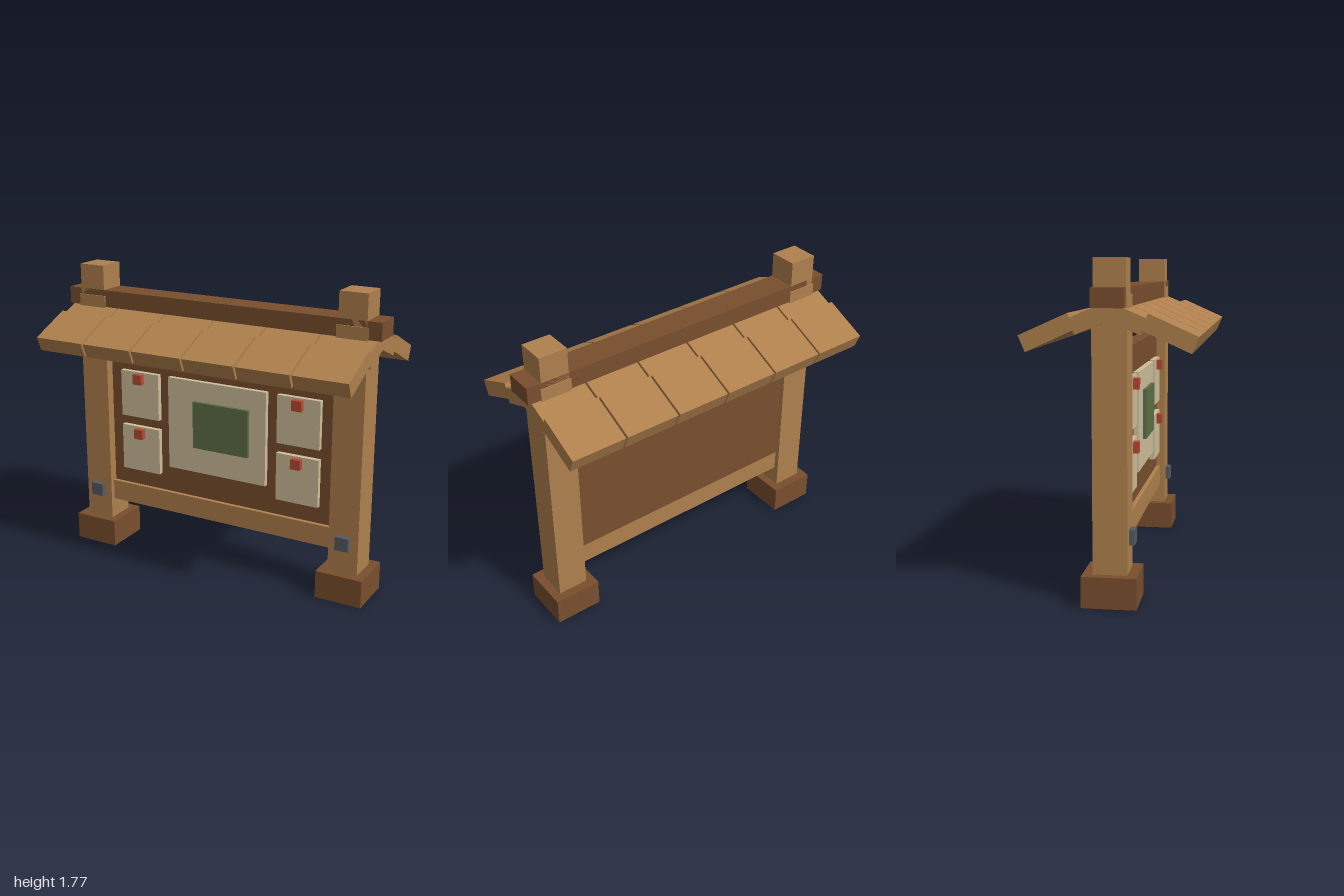
import * as THREE from 'three';

const mat = (name, color) => {
  const m = new THREE.MeshStandardMaterial({ color });
  m.name = name;
  return m;
};

export function createModel() {
  const model = new THREE.Group();
  model.name = 'noticeBoard';

  const wood = mat('lightWood', 0xaf804d);
  const darkWood = mat('darkWood', 0x794e2e);
  const paper = mat('paper', 0xcfc09c);
  const green = mat('mapGreen', 0x5d6f47);
  const red = mat('pinRed', 0xb64830);
  const iron = mat('iron', 0x565a5f);

  // Box given by its lower and upper limits on each axis
  const box = (name, material, [x0, x1], [y0, y1], [z0, z1]) => {
    const mesh = new THREE.Mesh(new THREE.BoxGeometry(x1 - x0, y1 - y0, z1 - z0), material);
    mesh.position.set((x0 + x1) / 2, (y0 + y1) / 2, (z0 + z1) / 2);
    mesh.name = name;
    model.add(mesh);
  };
  // Box centred on x and z
  const block = (name, material, x, w, y, d) =>
    box(name, material, [x - w / 2, x + w / 2], y, [-d / 2, d / 2]);

  // Posts with footings, caps and bolts
  for (const s of [-1, 1]) {
    const x = s * 0.835;
    block('footing', darkWood, x, 0.28, [0, 0.165], 0.286);
    block('post', wood, x, 0.18, [0.02, 1.59], 0.18);
    block('postCap', wood, x, 0.164, [1.59, 1.77], 0.166);
    box('bolt', iron, [x - 0.04, x + 0.04], [0.31, 0.39], [0.085, 0.12]);
  }

  // Ridge beam, bottom rail and backing panel
  block('ridgeBeam', darkWood, 0, 2, [1.525, 1.625], 0.166);
  block('bottomRail', wood, 0, 1.5, [0.285, 0.41], 0.12);
  box('backPanel', darkWood, [-0.75, 0.75], [0.41, 1.298], [-0.06, 0.035]);

  // Notices, pins and the map
  box('mainNotice', paper, [-0.325, 0.325], [0.58, 1.145], [0.03, 0.065]);
  box('map', green, [-0.145, 0.22], [0.74, 1.025], [0.06, 0.085]);
  for (const s of [-1, 1]) {
    for (const top of [1.145, 0.8]) {
      const x = s * 0.5275;
      box('notice', paper, [x - 0.1325, x + 0.1325], [top - 0.285, top], [0.03, 0.065]);
      box('pin', red, [x - 0.03, x + 0.03], [top - 0.07, top - 0.01], [0.06, 0.097]);
    }
  }

  // Roof planks: profiles given as [z, y], extruded along x
  const plankWidth = 0.316;
  const plankGeometry = (points) => {
    const shape = new THREE.Shape(points.map(([z, y]) => new THREE.Vector2(-z, y)));
    const geometry = new THREE.ExtrudeGeometry(shape, { depth: plankWidth, bevelEnabled: false });
    return geometry.translate(0, 0, -plankWidth / 2).rotateY(Math.PI / 2);
  };
  const upper = plankGeometry([
    [0, 1.46], [0.165, 1.393], [0.2, 1.473], [0, 1.558], [-0.2, 1.473], [-0.165, 1.393],
  ]);
  const eave = [[0.45, 1.388], [0.2, 1.5], [0.165, 1.418], [0.415, 1.305]];
  const frontEave = plankGeometry(eave);
  const backEave = plankGeometry(eave.map(([z, y]) => [-z, y]));

  for (let i = 0; i < 6; i++) {
    const x = (i - 2.5) * 0.328;
    const parts = { upperRoofPlank: upper, frontEavePlank: frontEave, backEavePlank: backEave };
    for (const [name, geometry] of Object.entries(parts)) {
      const plank = new THREE.Mesh(geometry, wood);
      plank.name = name;
      plank.position.x = x;
      model.add(plank);
    }
  }

  return model;
}
